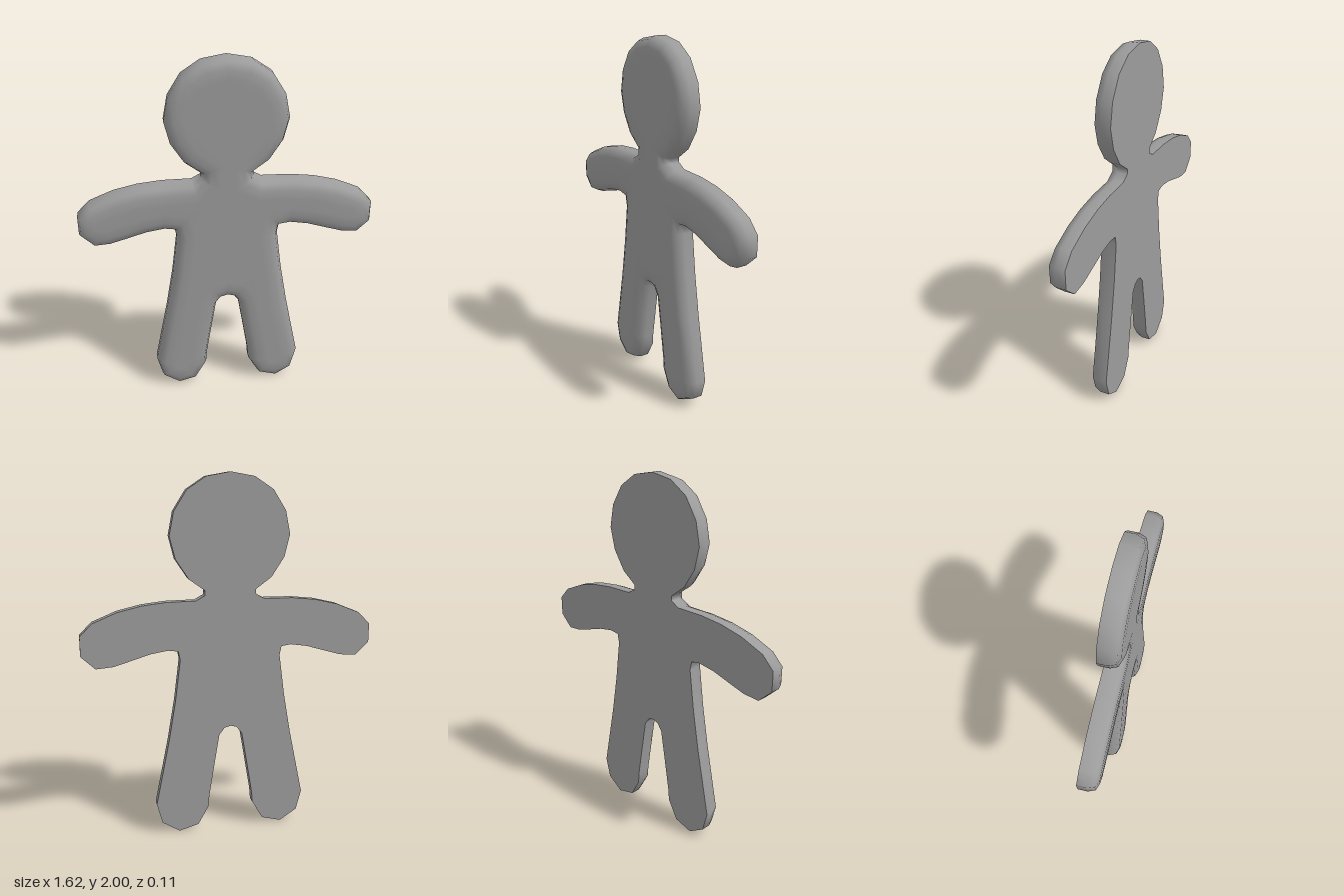
import * as THREE from 'three';

// Half outline from the top of the head to the crotch
const HALF = [
  [0, 2], [0.13, 1.977], [0.232, 1.91], [0.302, 1.8], [0.327, 1.675], [0.297, 1.555], [0.227, 1.448], // head
  [0.14, 1.385], [0.142, 1.358], [0.19, 1.332], // neck
  [0.35, 1.33], [0.48, 1.316], [0.61, 1.286], [0.742, 1.232], [0.808, 1.165], [0.808, 1.058], // arm, upper side
  [0.732, 0.987], [0.64, 0.994], [0.55, 1.02], [0.44, 1.053], [0.345, 1.068], [0.29, 1.06], // arm, lower side
  [0.28, 1.01], [0.31, 0.78], [0.35, 0.55], [0.427, 0.175], [0.397, 0.062], [0.3, 0], // flank and foot
  [0.19, 0.03], [0.13, 0.135], [0.125, 0.2], [0.095, 0.385], [0.065, 0.565], [0.035, 0.605], [0, 0.615], // inner leg
];

// [z, inset] of each loop: straight side, then a rounded front edge
const LEVELS = [[-0.055, 0], [0, 0], [0.038, 0.015], [0.053, 0.052], [0.055, 0.1]];

// Move a counter-clockwise outline inwards with mitred corners
function inset(points, amount) {
  const n = points.length;
  return points.map((p, i) => {
    const a = p.clone().sub(points[(i + n - 1) % n]).normalize();
    const b = points[(i + 1) % n].clone().sub(p).normalize();
    const miter = new THREE.Vector2(-a.y - b.y, a.x + b.x);
    return p.clone().addScaledVector(miter, amount / (1 + a.dot(b)));
  });
}

function createBodyGeometry() {
  const outline = [
    ...HALF.map(([x, y]) => new THREE.Vector2(-x, y)),
    ...HALF.slice(1, -1).reverse().map(([x, y]) => new THREE.Vector2(x, y)),
  ];
  const n = outline.length;
  const positions = [];
  const indices = [];
  const addLoop = (loop, z) => loop.forEach((p) => positions.push(p.x, p.y, z));

  // Sides and rounded front edge
  LEVELS.forEach(([z, amount]) => addLoop(inset(outline, amount), z));
  for (let k = 0; k < LEVELS.length - 1; k++) {
    for (let i = 0; i < n; i++) {
      const a = k * n + i;
      const b = k * n + ((i + 1) % n);
      indices.push(a, b, b + n, a, b + n, a + n);
    }
  }

  // Front face, sharing the last loop so it blends smoothly
  const [, frontInset] = LEVELS[LEVELS.length - 1];
  const front = (LEVELS.length - 1) * n;
  for (const [a, b, c] of THREE.ShapeUtils.triangulateShape(inset(outline, frontInset), [])) {
    indices.push(front + a, front + b, front + c);
  }

  // Flat back with its own loop, keeping the rim sharp
  const back = LEVELS.length * n;
  addLoop(outline, LEVELS[0][0]);
  for (const [a, b, c] of THREE.ShapeUtils.triangulateShape(outline.slice(), [])) {
    indices.push(back + a, back + c, back + b);
  }

  const geometry = new THREE.BufferGeometry();
  geometry.setAttribute('position', new THREE.Float32BufferAttribute(positions, 3));
  geometry.setIndex(indices);
  geometry.computeVertexNormals();
  return geometry;
}

export function createModel() {
  const group = new THREE.Group();
  group.name = 'gingerbreadFigure';
  const body = new THREE.Mesh(createBodyGeometry(), new THREE.MeshStandardMaterial({ color: 0x9c9c9c }));
  body.name = 'cookieBody';
  group.add(body);
  return group;
}
